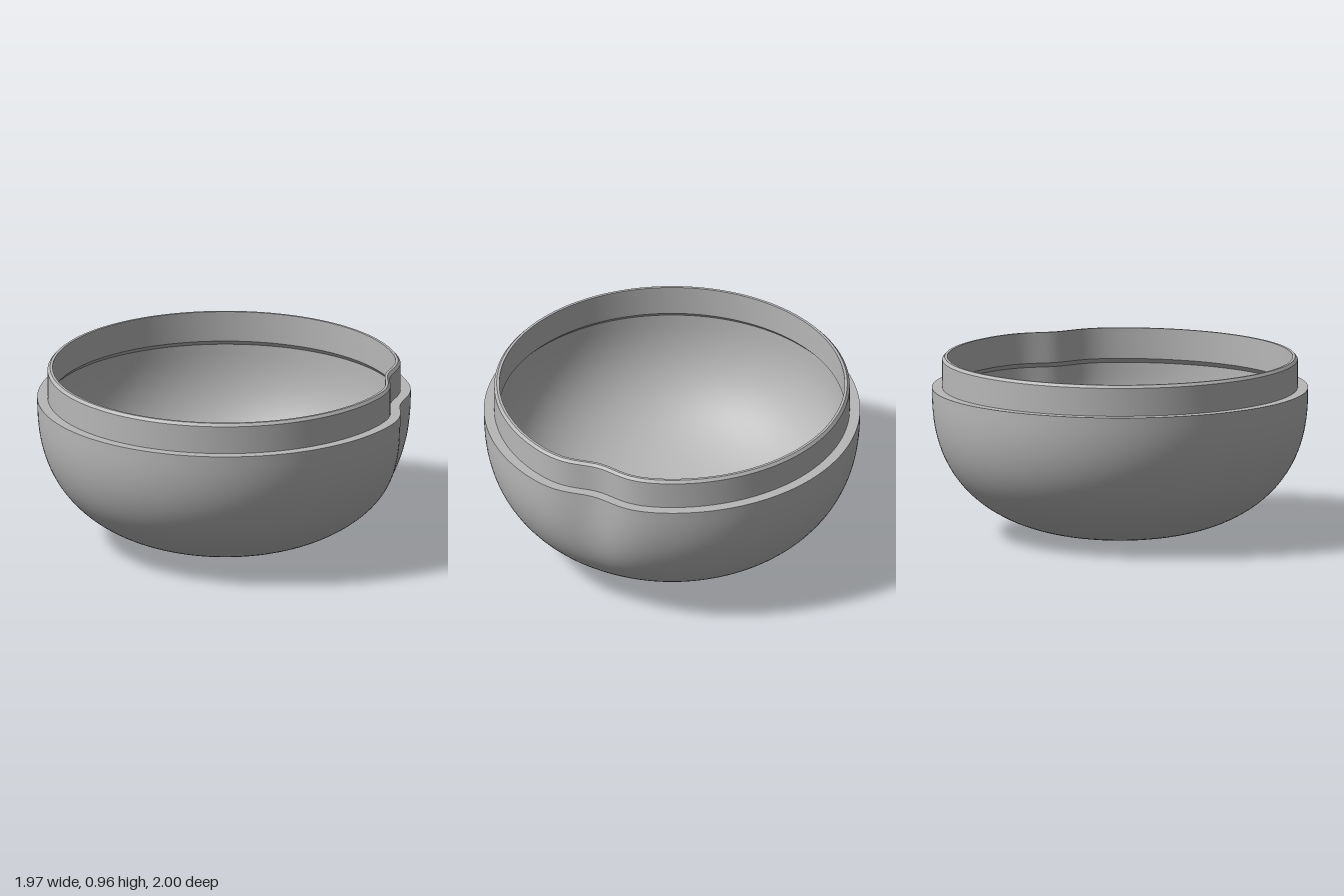
import * as THREE from 'three';
import { mergeVertices } from 'three/addons/utils/BufferGeometryUtils.js';

const SEGMENTS = 160;

// Rounded bowl curve, from the bottom centre up to the rim
function bowlCurve(radius, bottom, top, power, steps = 40) {
  const points = [];
  for (let i = 0; i <= steps; i++) {
    const t = (i / steps) * Math.PI / 2;
    const r = radius * Math.pow(Math.sin(t), 2 / power);
    const y = top - (top - bottom) * Math.pow(Math.max(Math.cos(t), 0), 2 / power);
    points.push([i === 0 ? 0 : r, i === steps ? top : y]);
  }
  return points;
}

// Finger notch on the left side, fading out towards the bottom
function addNotch(geometry) {
  const p = geometry.attributes.position;
  for (let i = 0; i < p.count; i++) {
    const x = p.getX(i), y = p.getY(i), z = p.getZ(i);
    const r = Math.hypot(x, z);
    if (r < 0.1) continue;
    const angle = Math.atan2(z, x) - 0.02;
    const depth = 0.06 * Math.exp(-((angle / 0.175) ** 2)) * THREE.MathUtils.smoothstep(y, 0.15, 0.75);
    const k = (r - depth) / r;
    p.setXYZ(i, x * k, y, z * k);
  }
}

// One smooth band of the shell; bands meet at sharp edges
function band(name, profile, material) {
  const points = profile.map(([r, y]) => new THREE.Vector2(r, y));
  let geometry = new THREE.LatheGeometry(points, SEGMENTS);
  addNotch(geometry);
  geometry.deleteAttribute('uv');
  geometry.deleteAttribute('normal');
  geometry = mergeVertices(geometry, 1e-5);
  geometry.computeVertexNormals();
  const mesh = new THREE.Mesh(geometry, material);
  mesh.name = name;
  return mesh;
}

export function createModel() {
  const grey = new THREE.MeshStandardMaterial({ color: 0xb8b8b8, side: THREE.DoubleSide });
  grey.name = 'grey';

  const group = new THREE.Group();
  group.name = 'notchedBowl';
  const shell = new THREE.Group();
  shell.name = 'shell';
  shell.position.x = 0.015;
  group.add(shell);

  // Profile runs up the outside, over the lip and down the inside
  const bands = {
    outerBowl: bowlCurve(1, 0, 0.795, 2.45),
    shoulderLedge: [[1, 0.795], [0.945, 0.795]],
    neckOutside: [[0.945, 0.795], [0.945, 0.945]],
    lipOuterChamfer: [[0.945, 0.945], [0.932, 0.96]],
    lipTop: [[0.932, 0.96], [0.918, 0.96]],
    neckInside: [[0.918, 0.96], [0.918, 0.795]],
    undercut: [[0.918, 0.795], [0.94, 0.77]],
    innerBowl: bowlCurve(0.94, 0.06, 0.77, 2.45).reverse(),
  };
  for (const [name, profile] of Object.entries(bands)) shell.add(band(name, profile, grey));

  return group;
}
